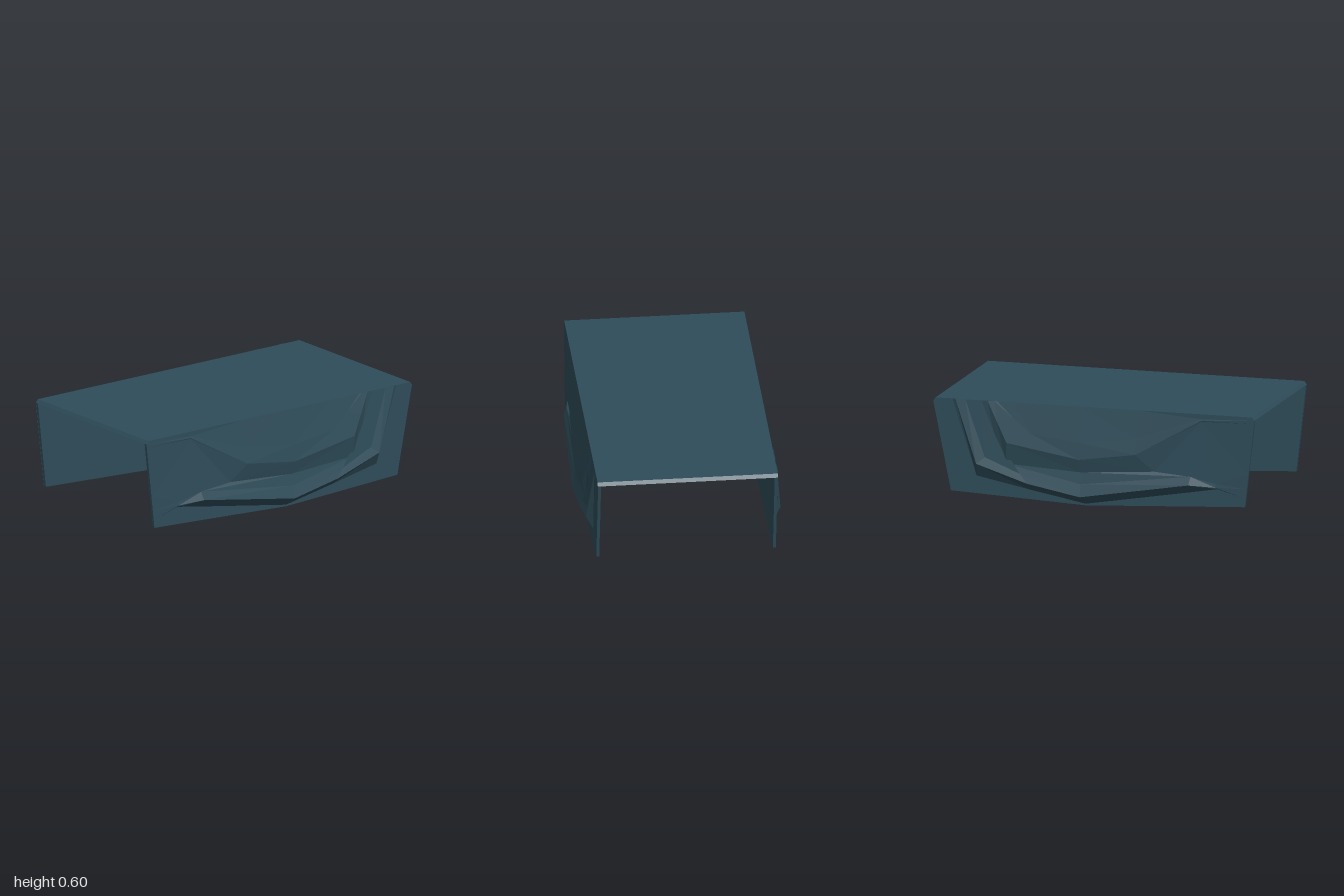
import * as THREE from 'three';

const OUT = 0.54, IN = 0.52;

// Extrudes an outline of [z, y] points along x, from x0 to x1
function slab(outline, x0, x1) {
  const shape = new THREE.Shape(outline.map(([z, y]) => new THREE.Vector2(-z, y)));
  return new THREE.ExtrudeGeometry(shape, { depth: x1 - x0, bevelEnabled: false })
    .rotateY(Math.PI / 2).translate(x0, 0, 0);
}

// Lines of the drape from top edge to hem; points run front to back as [z, y, x]
const foldRows = [
  [[0.67, 0.6], [0.27, 0.6], [-0.08, 0.6], [-0.38, 0.6], [-0.5, 0.6], [-0.6, 0.6]],
  // upper fold: shoulder, crest, underside
  [[0.67, 0.57], [0.27, 0.43, 0.564], [-0.08, 0.385, 0.574], [-0.38, 0.42, 0.57], [-0.5, 0.51, 0.556], [-0.62, 0.6, 0.542]],
  [[0.67, 0.56, 0.542], [0.27, 0.335, 0.58], [-0.08, 0.285, 0.587], [-0.53, 0.36, 0.587], [-0.595, 0.48, 0.566], [-0.66, 0.6, 0.545]],
  [[0.67, 0.555], [0.38, 0.235, 0.555], [-0.07, 0.205, 0.568], [-0.54, 0.23, 0.565], [-0.62, 0.415, 0.552], [-0.7, 0.6]],
  // lower fold: shoulder, crest, underside
  [[0.76, 0.18, 0.543], [0.61, 0.22, 0.565], [-0.07, 0.135, 0.58], [-0.45, 0.175, 0.578], [-0.67, 0.26, 0.567], [-0.8, 0.6]],
  [[0.76, 0.158, 0.545], [0.6, 0.17, 0.583], [-0.07, 0.06, 0.6], [-0.4, 0.12, 0.592], [-0.72, 0.22, 0.583], [-0.86, 0.6, 0.546]],
  [[0.77, 0.15], [0.6, 0.12], [-0.05, 0.01], [-0.4, 0.075], [-0.73, 0.14], [-0.88, 0.6]],
  // hem
  [[0.85, 0.046], [0.45, 0.026], [-0.05, 0], [-0.45, 0.019], [-0.89, 0.04], [-0.985, 0.6]],
];
const frontEdgeY = [0.6, 0.59, 0.58, 0.56, 0.25, 0.16, 0.1, 0.05];

// Faceted folded surface of one side (s = 1 left, -1 right)
function foldGeometry(s) {
  const pos = [], index = [], cols = 7;
  foldRows.forEach((row, r) => {
    const y = frontEdgeY[r];
    const z = y > 0.58 ? 1 - (y - 0.58) * 0.75 : 0.94 + 0.06 * (y - 0.05) / 0.53;
    for (const [pz, py, px = OUT] of [[z, y], ...row]) pos.push(s * px, py, pz);
  });
  for (let r = 0; r < foldRows.length - 1; r++) {
    for (let c = 0; c < cols - 1; c++) {
      const a = r * cols + c, b = a + cols, d = a + 1, e = b + 1;
      if (s > 0) index.push(a, b, d, b, e, d);
      else index.push(a, d, b, b, d, e);
    }
  }
  const g = new THREE.BufferGeometry();
  g.setAttribute('position', new THREE.Float32BufferAttribute(pos, 3));
  g.setIndex(index);
  const flat = g.toNonIndexed();
  flat.computeVertexNormals();
  return flat;
}

export function createModel() {
  const group = new THREE.Group();
  const cloth = new THREE.MeshStandardMaterial({ color: 0x2f4d5a, side: THREE.DoubleSide });
  cloth.name = 'dark teal cloth';
  const add = (name, geometry) => {
    const mesh = new THREE.Mesh(geometry, cloth);
    mesh.name = name;
    group.add(mesh);
  };

  // Flat top with slightly chamfered ends
  add('topPanel', slab([[0.985, 0.6], [1, 0.58], [-1, 0.58], [-0.985, 0.6]], -OUT, OUT));

  // Hanging sides: thin flat lining with the folds on its outer face
  const side = [[1, 0.58], [0.94, 0.05], [-0.05, 0], [-0.89, 0.04], [-1, 0.58]];
  const face = OUT - 0.002;
  add('leftLining', slab(side, IN, face));
  add('rightLining', slab(side, -face, -IN));
  add('leftFolds', foldGeometry(1));
  add('rightFolds', foldGeometry(-1));
  return group;
}
